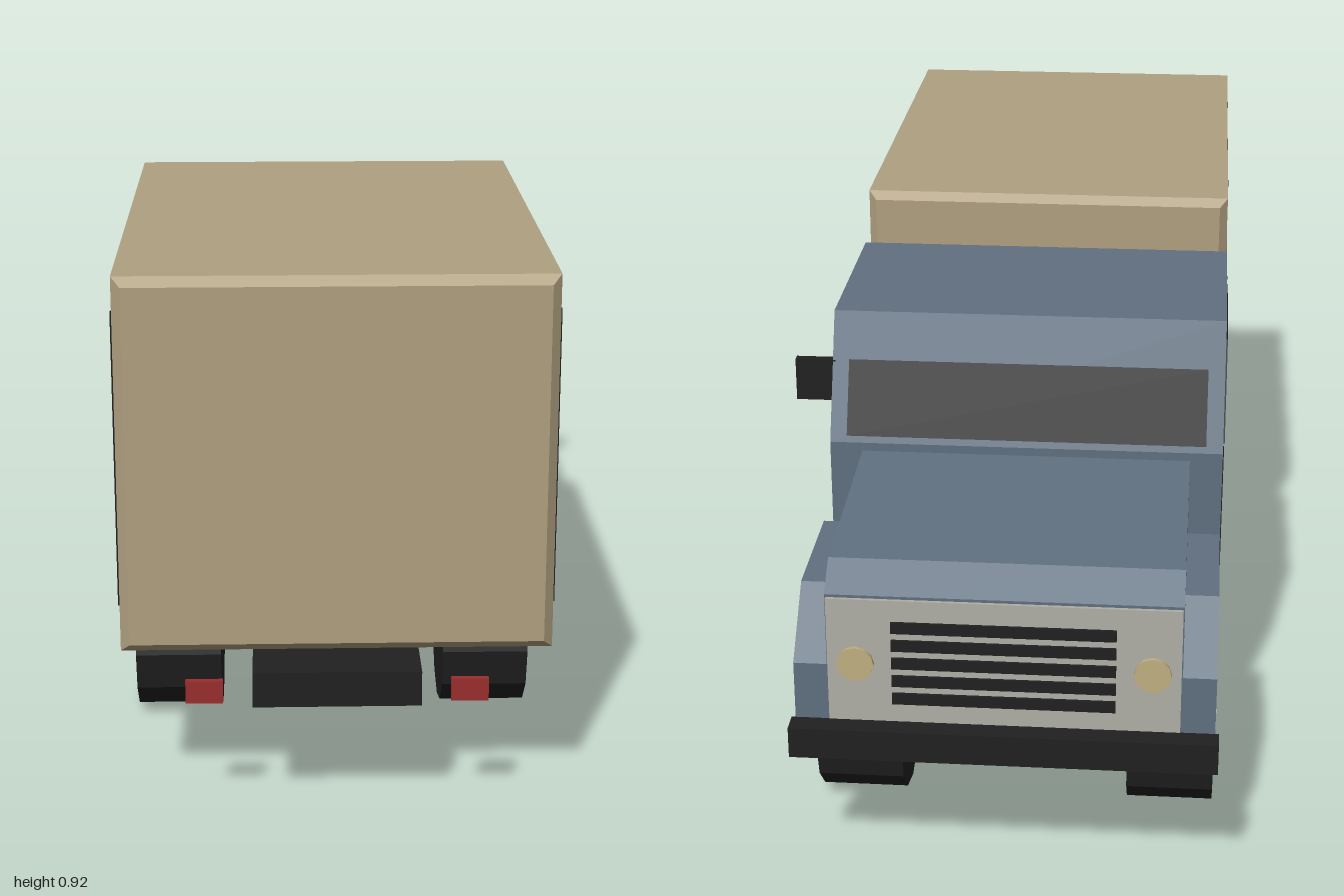
import * as THREE from 'three';

const CX = -0.032; // centre line of the body; the mirror on the left widens the total

const mat = (name, color) => {
  const m = new THREE.MeshStandardMaterial({ color });
  m.name = name;
  return m;
};

// Extrude a side profile of [z, y] points across the width x0..x1
function profile(points, x0, x1) {
  const shape = new THREE.Shape(points.map(([z, y]) => new THREE.Vector2(z, y)));
  const geo = new THREE.ExtrudeGeometry(shape, { depth: x1 - x0, bevelEnabled: false });
  geo.rotateY(-Math.PI / 2);
  geo.translate(x1, 0, 0);
  return geo;
}

// Box from its minimum and maximum corners
function span(x0, x1, y0, y1, z0, z1) {
  const geo = new THREE.BoxGeometry(x1 - x0, y1 - y0, z1 - z0);
  geo.translate((x0 + x1) / 2, (y0 + y1) / 2, (z0 + z1) / 2);
  return geo;
}

// Flat-faced cylinder lying along x
function disc(radius, width, sides) {
  const geo = new THREE.CylinderGeometry(radius, radius, width, sides).toNonIndexed();
  geo.rotateZ(Math.PI / 2);
  geo.computeVertexNormals();
  return geo;
}

export function createModel() {
  const truck = new THREE.Group();
  truck.name = 'boxTruck';

  const paint = mat('cabBlue', 0x607080);
  const tan = mat('cargoTan', 0xb0a080);
  const black = mat('trimBlack', 0x202020);
  const rubber = mat('tyreRubber', 0x222222);
  const glass = mat('darkGlass', 0x1a1a1a);
  const metal = mat('hubMetal', 0xa8aab0);
  const grey = mat('grilleGrey', 0xb0aea6);
  const lamp = mat('lampYellow', 0xc0b080);
  const gold = mat('stripeGold', 0x987838);
  const red = mat('tailRed', 0x9c2e2e);

  const add = (name, geo, material, parent = truck) => {
    const mesh = new THREE.Mesh(geo, material);
    mesh.name = name;
    parent.add(mesh);
    return mesh;
  };

  // Chassis and bumper
  add('chassis', span(CX - 0.138, CX + 0.138, 0.2, 0.26, -0.52, 1), black);
  add('frontBumper', span(CX - 0.356, CX + 0.356, 0.25, 0.305, -1, -0.962), black);

  // Cargo box with chamfered edges
  const c = 0.015, w = 0.3515 - c, y0 = 0.292 + c, y1 = 0.917 - c;
  const rect = new THREE.Shape([
    [-w, y0], [w, y0], [w, y1], [-w, y1],
  ].map(([x, y]) => new THREE.Vector2(x, y)));
  const cargo = new THREE.ExtrudeGeometry(rect, {
    depth: 0.99 - 0.005 - 2 * c, bevelEnabled: true,
    bevelSize: c, bevelThickness: c, bevelSegments: 1,
  });
  cargo.translate(CX, 0, 0.005 + c);
  add('cargoBox', cargo, tan);

  // Cab, bonnet
  add('cab', profile([
    [-0.043, 0.253], [-0.043, 0.83], [-0.425, 0.83], [-0.52, 0.613], [-0.52, 0.253],
  ], CX - 0.352, CX + 0.352), paint);
  add('bonnet', profile([
    [-0.515, 0.288], [-0.515, 0.598], [-0.906, 0.577], [-0.957, 0.535], [-0.957, 0.288],
  ], CX - 0.294, CX + 0.294), paint);

  // Windscreen lying on the sloped front of the cab
  const slope = (t, out) => [-0.425 - 0.095 * t - out * 0.916, 0.83 - 0.217 * t + out * 0.4];
  add('windscreen', profile(
    [slope(0.37, -0.002), slope(0.37, 0.004), slope(0.95, 0.004), slope(0.95, -0.002)],
    CX - 0.322, CX + 0.322), glass);

  // Grille with bars
  add('grille', span(CX - 0.292, CX + 0.292, 0.292, 0.53, -0.963, -0.955), grey);
  for (let i = 0; i < 5; i++) {
    const y = 0.482 - i * 0.033;
    add('grilleBar', span(CX - 0.185, CX + 0.185, y - 0.01, y + 0.01, -0.968, -0.962), black);
  }

  // Parts repeated on both sides
  for (const s of [-1, 1]) {
    const side = new THREE.Group();
    side.name = s > 0 ? 'leftSide' : 'rightSide';
    truck.add(side);
    // Place x distances measured outward from the centre line
    const range = (a, b) => (s > 0 ? [CX + a, CX + b] : [CX - b, CX - a]);

    add('fender', profile([
      [-0.552, 0.288], [-0.552, 0.41], [-0.625, 0.506], [-0.858, 0.506],
      [-0.957, 0.405], [-0.957, 0.288],
    ], ...range(0.285, 0.35)), paint, side);
    add('sideWindow', profile([
      [-0.117, 0.617], [-0.117, 0.79], [-0.413, 0.79], [-0.483, 0.617],
    ], ...range(0.349, 0.355)), glass, side);

    // Door gaps on the cab
    for (const [z, top] of [[-0.102, 0.8], [-0.49, 0.615]]) {
      add('doorGap', span(...range(0.349, 0.354), 0.285, top, z - 0.003, z + 0.003), black, side);
    }

    // Cargo stripe, locker gaps and handles
    add('cargoStripe', span(...range(0.349, 0.3535), 0.735, 0.815, 0.065, 0.94), gold, side);
    for (const z of [0.337, 0.648, 0.958]) {
      add('lockerGap', span(...range(0.349, 0.355), 0.365, 0.857, z - 0.003, z + 0.003), black, side);
    }
    for (const z of [0.204, 0.522, 0.826]) {
      add('lockerHandle', span(...range(0.349, 0.357), 0.595, 0.609, z - 0.015, z + 0.015), metal, side);
    }

    // Headlight and tail light
    const light = new THREE.CylinderGeometry(0.031, 0.031, 0.012, 12);
    light.rotateX(Math.PI / 2);
    light.translate(CX + s * 0.245, 0.413, -0.964);
    add('headlight', light, lamp, side);
    add('tailLight', span(...range(0.186, 0.247), 0.208, 0.247, 0.99, 1), red, side);

    // Wheels
    for (const z of [-0.64, 0.502]) {
      const wheel = new THREE.Group();
      wheel.name = z < 0 ? 'frontWheel' : 'rearWheel';
      wheel.position.set(CX + s * 0.275, 0.141, z);
      side.add(wheel);
      add('tyre', disc(0.141, 0.152, 12), rubber, wheel);
      add('hub', disc(0.071, 0.008, 12), metal, wheel).position.x = s * 0.0755;
    }
  }

  // Single door mirror
  add('doorMirror', span(0.315, 0.388, 0.67, 0.748, -0.462, -0.446), black);

  return truck;
}
